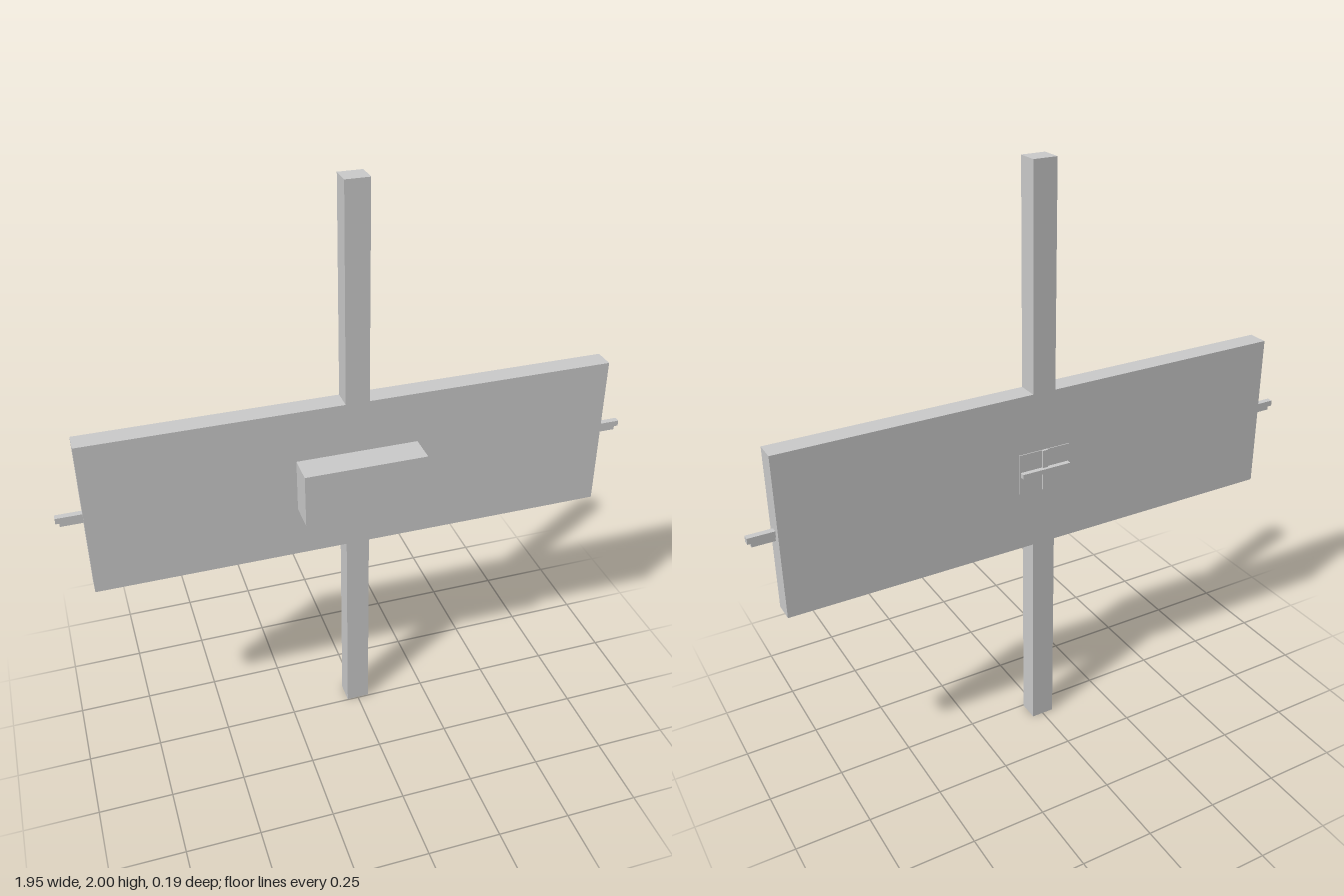
import * as THREE from 'three';

export function createModel() {
  const model = new THREE.Group();
  const material = new THREE.MeshStandardMaterial({ color: 0xcccccc, flatShading: true });

  // Box given by its lower and upper limits on each axis
  function block(name, [x0, x1], [y0, y1], [z0, z1], parent = model) {
    const mesh = new THREE.Mesh(new THREE.BoxGeometry(x1 - x0, y1 - y0, z1 - z0), material);
    mesh.position.set((x0 + x1) / 2, (y0 + y1) / 2, (z0 + z1) / 2);
    mesh.name = name;
    parent.add(mesh);
    return mesh;
  }

  const front = -0.003, back = -0.074;

  // Wide panel with a post above and below
  block('panel', [-0.89, 0.89], [0.73, 1.275], [back, front]);
  block('upperPost', [-0.04, 0.04], [1.275, 2], [back, front]);
  block('lowerPost', [-0.04, 0.04], [0, 0.73], [back, front]);

  // Raised block on the front
  block('frontBlock', [-0.207, 0.207], [0.91, 1.095], [front, 0.097]);

  // Thin plate with crossed ribs on the back
  const mount = new THREE.Group();
  mount.name = 'backMount';
  model.add(mount);
  block('mountPlate', [-0.093, 0.093], [0.935, 1.075], [back - 0.003, back], mount);
  block('horizontalRib', [-0.088, 0.088], [0.997, 1.013], [-0.094, back], mount);
  block('verticalRib', [-0.009, 0.009], [0.935, 1.075], [-0.083, back], mount);

  // Stepped pin on each end: a wide bar over a narrower, shorter one
  for (const side of [-1, 1]) {
    const pin = new THREE.Group();
    pin.name = side > 0 ? 'leftPin' : 'rightPin';
    model.add(pin);
    const span = (length) => [0.89, 0.89 + length].map((x) => x * side).sort((a, b) => a - b);
    block('pinTop', span(0.085), [1.0, 1.02], [-0.05, -0.029], pin);
    block('pinBottom', span(0.073), [0.985, 1.0], [-0.045, -0.033], pin);
  }

  return model;
}
